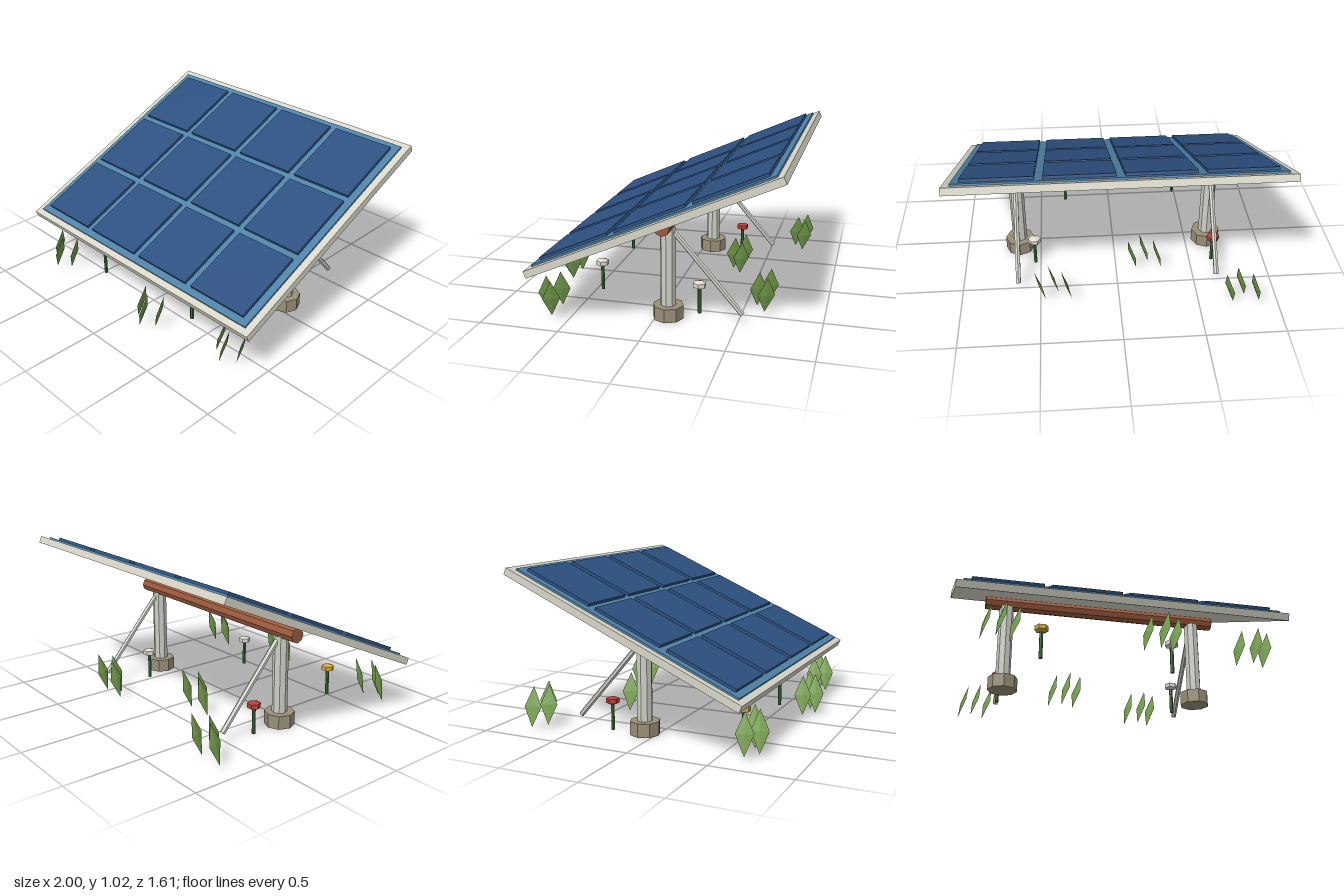
import * as THREE from 'three';

const mat = (color) => new THREE.MeshStandardMaterial({ color, flatShading: true });
const M = {
  frame: mat(0xd8d6c8), backing: mat(0x4f82a8), cell: mat(0x2c5080), metal: mat(0xcdd0c6),
  footing: mat(0x9a9078), tube: mat(0x9c5a3c), blade: mat(0x76a04e), stem: mat(0x3a6a3a),
  yellow: mat(0xd0a83c), white: mat(0xe2dad2), red: mat(0xb8403a),
};

function add(parent, name, geometry, material, x = 0, y = 0, z = 0) {
  const mesh = new THREE.Mesh(geometry, material);
  mesh.name = name;
  mesh.position.set(x, y, z);
  parent.add(mesh);
  return mesh;
}

function group(parent, name, x = 0, y = 0, z = 0) {
  const g = new THREE.Group();
  g.name = name;
  g.position.set(x, y, z);
  parent.add(g);
  return g;
}

// Straight rod between two points
function rod(parent, name, a, b, radius, sides, material) {
  const dir = b.clone().sub(a);
  const mesh = add(parent, name, new THREE.CylinderGeometry(radius, radius, dir.length(), sides), material);
  mesh.position.copy(a).add(b).multiplyScalar(0.5);
  mesh.quaternion.setFromUnitVectors(new THREE.Vector3(0, 1, 0), dir.normalize());
}

// Tilted panel: frame, backing sheet and a 4 x 3 grid of cells
function buildPanel(root) {
  const panel = group(root, 'panel', 0, 0.667, -0.055);
  panel.rotation.x = THREE.MathUtils.degToRad(24);
  add(panel, 'panelFrame', new THREE.BoxGeometry(2, 0.045, 1.633), M.frame);
  add(panel, 'panelBacking', new THREE.BoxGeometry(1.91, 0.02, 1.55), M.backing, 0, 0.024, 0);
  const cell = new THREE.BoxGeometry(0.417, 0.02, 0.458);
  for (let i = 0; i < 4; i++)
    for (let j = 0; j < 3; j++)
      add(panel, 'solarCell', cell, M.cell, (i - 1.5) * 0.466, 0.042, (j - 1) * 0.502);
}

// Posts with footings and rear braces, joined by a cross tube
function buildStand(root) {
  const z = -0.075;
  for (const x of [-0.64, 0.64]) {
    const support = group(root, x > 0 ? 'leftSupport' : 'rightSupport', x, 0, z);
    add(support, 'footing', new THREE.CylinderGeometry(0.095, 0.095, 0.086, 8), M.footing, 0, 0.043, 0);
    add(support, 'post', new THREE.CylinderGeometry(0.048, 0.048, 0.5, 8), M.metal, 0, 0.33, 0);
    rod(support, 'brace', new THREE.Vector3(0, 0.57, -0.02), new THREE.Vector3(0, 0.068, -0.455), 0.017, 6, M.metal);
  }
  const tube = add(root, 'crossTube', new THREE.CylinderGeometry(0.048, 0.048, 1.56, 8), M.tube, 0, 0.61, z);
  tube.rotation.z = Math.PI / 2;
}

// Small flowers: thin stem and a squashed faceted head
function buildFlowers(root) {
  const stem = new THREE.CylinderGeometry(0.012, 0.012, 0.18, 6);
  const head = new THREE.SphereGeometry(0.048, 6, 3).scale(1, 0.58, 1);
  const spots = [[-0.485, 0.51, 'yellow'], [0.32, 0.46, 'white'], [0.535, -0.245, 'white'], [-0.65, -0.295, 'red']];
  for (const [x, z, color] of spots) {
    const flower = group(root, 'flower', x, 0, z);
    add(flower, 'stem', stem, M.stem, 0, 0.09, 0);
    add(flower, 'flowerHead', head, M[color], 0, 0.187, 0);
  }
}

// Grass tufts: three leaning diamond blades, the middle one set forward
function buildGrass(root) {
  const blade = new THREE.OctahedronGeometry(1).scale(0.008, 0.127, 0.054);
  const tufts = [[0.785, 0.59], [0.19, 0.69], [-0.735, 0.645], [0.415, -0.65], [-0.185, -0.385], [-0.765, -0.75]];
  for (const [x, z] of tufts) {
    const tuft = group(root, 'grassTuft', x, 0, z);
    for (const i of [-1, 0, 1]) {
      const leaf = add(tuft, 'grassBlade', blade, M.blade, i * 0.082, 0.144, i === 0 ? 0.06 : 0);
      leaf.rotation.set(0, 0.36 + i * 0.05, -0.26);
    }
  }
}

export function createModel() {
  const root = new THREE.Group();
  root.name = 'solarPanel';
  buildPanel(root);
  buildStand(root);
  buildFlowers(root);
  buildGrass(root);
  return root;
}
